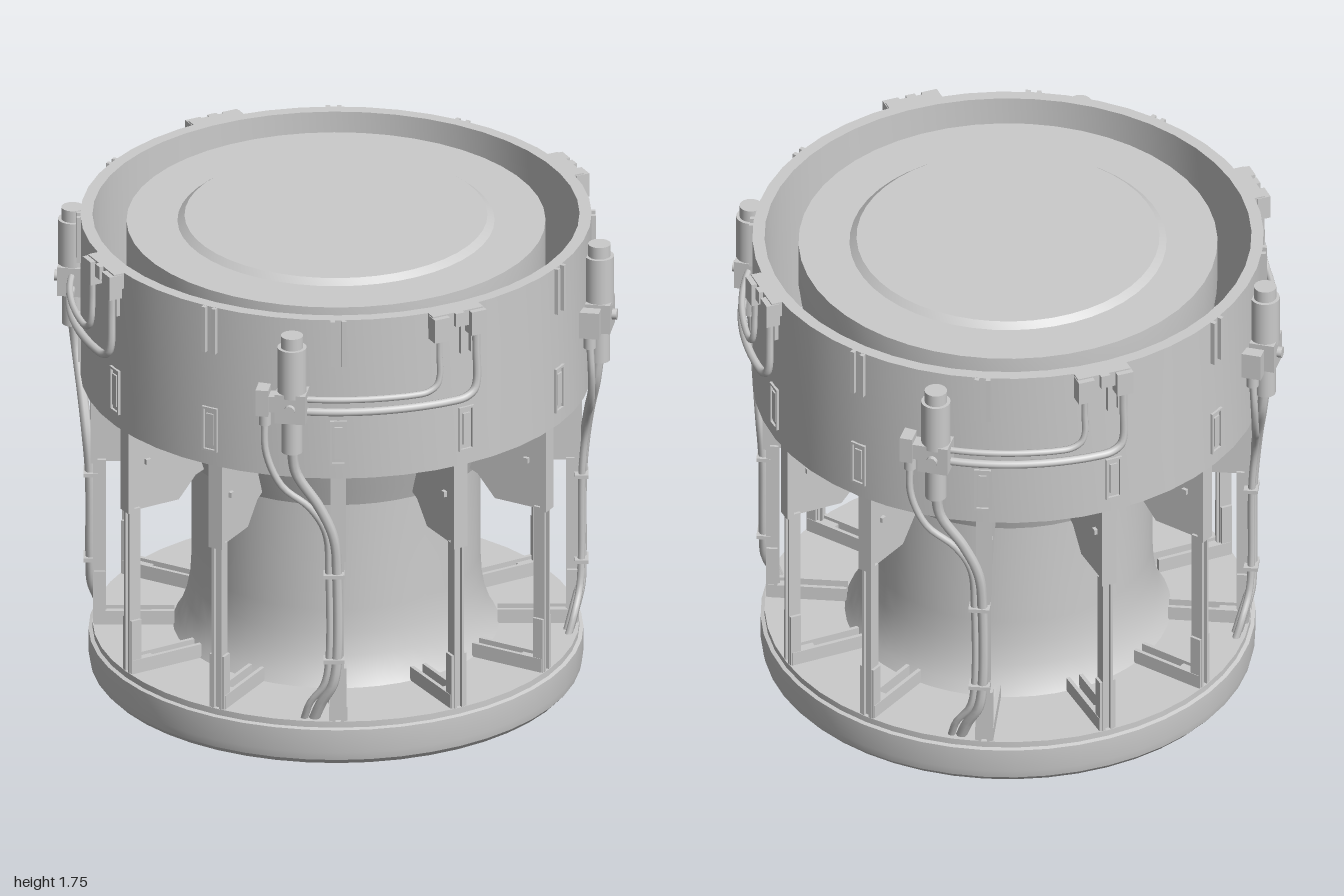
import * as THREE from 'three';
import { toCreasedNormals } from 'three/addons/utils/BufferGeometryUtils.js';

const grey = new THREE.MeshStandardMaterial({ color: 0xcccccc });
const thin = new THREE.MeshStandardMaterial({ color: 0xcccccc, side: THREE.DoubleSide });
const RAD = Math.PI / 180;

function add(parent, name, geometry, x = 0, y = 0, z = 0, material = grey) {
  const mesh = new THREE.Mesh(geometry, material);
  mesh.name = name;
  mesh.position.set(x, y, z);
  parent.add(mesh);
  return mesh;
}

// Box given by its centre and size
const box = (parent, name, x, y, z, w, h, d) =>
  add(parent, name, new THREE.BoxGeometry(w, h, d), x, y, z);

// Upright cylinder between two heights
const rod = (parent, name, x, z, y0, y1, r, sides = 20) =>
  add(parent, name, new THREE.CylinderGeometry(r, r, y1 - y0, sides), x, (y0 + y1) / 2, z);

// Lathe with sharp corners kept
function lathe(parent, name, profile) {
  const points = profile.map(([r, y]) => new THREE.Vector2(r, y));
  return add(parent, name, toCreasedNormals(new THREE.LatheGeometry(points, 48), 0.5));
}

// Point given by angle from the front, height and radius
const polar = (deg, y, r) => new THREE.Vector3(r * Math.sin(deg * RAD), y, r * Math.cos(deg * RAD));

function tube(parent, name, points, radius, segments = 48) {
  const curve = new THREE.CatmullRomCurve3(points, false, 'centripetal');
  return add(parent, name, new THREE.TubeGeometry(curve, segments, radius, 8), 0, 0, 0, thin);
}

// Twelve curved, slanted blades in the underside recess
function makeImpeller() {
  const impeller = new THREE.Group();
  impeller.name = 'impeller';
  for (let i = 0; i < 12; i++) {
    const geo = new THREE.PlaneGeometry(1, 1, 10, 4);
    const p = geo.attributes.position;
    for (let k = 0; k < p.count; k++) {
      const s = p.getX(k) + 0.5, t = p.getY(k) + 0.5;
      const v = polar(i * 30 + t * 30 + 45 * s * s, 0.055 - 0.025 * t * s, 0.02 + 0.5 * s);
      p.setXYZ(k, v.x, v.y, v.z);
    }
    geo.computeVertexNormals();
    add(impeller, 'blade', geo, 0, 0, 0, thin);
  }
  return impeller;
}

// One of twelve bays: strut, fin, foot rails and ring fittings, built facing +z
function makeBay() {
  const bay = new THREE.Group();
  bay.name = 'strutBay';

  // Fin between bowl and ring
  const shape = new THREE.Shape([[0.865, 1.2], [0.865, 0.8], [0.65, 0.8], [0.58, 0.88], [0.53, 0.9], [0.62, 1.2]]
    .map(([r, y]) => new THREE.Vector2(-r, y)));
  const finGeo = new THREE.ExtrudeGeometry(shape, { depth: 0.02, bevelEnabled: false });
  finGeo.translate(0, 0, -0.01).rotateY(Math.PI / 2);
  add(bay, 'fin', finGeo);
  box(bay, 'finFlange', 0, 0.98, 0.855, 0.055, 0.36, 0.025);
  box(bay, 'finPin', 0, 0.98, 0.78, 0.045, 0.02, 0.02);

  // Strut and its foot
  box(bay, 'strutWeb', 0, 0.49, 0.835, 0.03, 0.64, 0.02);
  for (const s of [-1, 1]) {
    box(bay, 'strutFlange', s * 0.015, 0.49, 0.835, 0.01, 0.64, 0.045);
    box(bay, 'footCheek', s * 0.025, 0.27, 0.835, 0.01, 0.22, 0.04);
    box(bay, 'footRail', s * 0.025, 0.2, 0.71, 0.014, 0.055, 0.28);
    box(bay, 'slotSide', s * 0.026, 1.28, 0.903, 0.008, 0.17, 0.016);
    box(bay, 'slotEnd', 0, 1.28 + s * 0.081, 0.903, 0.06, 0.008, 0.016);
    box(bay, 'topGuide', s * 0.02, 1.667, 0.907, 0.016, 0.175, 0.02);
  }
  box(bay, 'slotPanel', 0, 1.28, 0.9, 0.028, 0.12, 0.018);
  box(bay, 'footBlock', 0, 0.195, 0.78, 0.036, 0.04, 0.06);
  return bay;
}

// One of four actuators with its pipes and hoses
function makeActuator() {
  const unit = new THREE.Group();
  unit.name = 'actuatorUnit';

  // Actuator body, at a small angle from the bay
  const body = new THREE.Group();
  body.name = 'actuator';
  body.rotation.y = -10 * RAD;
  unit.add(body);
  rod(body, 'actuatorCap', 0, 0.943, 1.66, 1.71, 0.04);
  rod(body, 'actuatorBody', 0, 0.943, 1.48, 1.665, 0.052);
  rod(body, 'actuatorNeck', 0, 0.943, 1.26, 1.4, 0.038);
  box(body, 'valveBlock', 0, 1.44, 0.94, 0.11, 0.11, 0.1);
  box(body, 'valveArm', -0.07, 1.44, 0.925, 0.1, 0.06, 0.06);
  box(body, 'valveEnd', -0.105, 1.445, 0.925, 0.045, 0.1, 0.075);
  rod(body, 'valveOutlet', -0.1, 0.925, 1.35, 1.4, 0.022);
  box(body, 'mount', 0, 1.56, 0.905, 0.05, 0.1, 0.04);
  const knob = rod(body, 'valveKnob', 0, 0.992, 1.425, 1.455, 0.02, 12);
  knob.rotation.x = Math.PI / 2;

  // Pipes along the ring, turning up to the connector
  for (const [y, end, r] of [[1.462, 22.5, 0.012], [1.415, 31.5, 0.015]]) {
    const path = [];
    for (let a = -8; a <= end - 5; a += 4) path.push(polar(a, y, 0.94));
    path.push(polar(end - 3, y + 0.004, 0.94), polar(end - 0.8, y + 0.025, 0.94),
      polar(end, y + 0.06, 0.938), polar(end, 1.6, 0.935), polar(end, 1.69, 0.935));
    tube(unit, 'ringPipe', path, r, 64);
  }

  // Connector at the top of the ring
  const connector = new THREE.Group();
  connector.name = 'connector';
  connector.rotation.y = 27 * RAD;
  unit.add(connector);
  box(connector, 'connectorPlate', 0, 1.725, 0.915, 0.2, 0.06, 0.04);
  for (const x of [-0.073, 0.073]) box(connector, 'connectorSocket', x, 1.705, 0.93, 0.06, 0.09, 0.05);
  box(connector, 'connectorCentre', 0, 1.73, 0.93, 0.035, 0.05, 0.04);

  // Hoses from the actuator down past the strut to the base
  const v = ([x, y, z]) => new THREE.Vector3(x, y, z);
  tube(unit, 'mainHose', [[-0.164, 1.28, 0.928], [-0.15, 1.17, 0.915], [-0.07, 1.03, 0.895], [-0.018, 0.9, 0.88],
    [-0.005, 0.75, 0.868], [-0.005, 0.42, 0.866], [-0.02, 0.32, 0.862], [-0.06, 0.24, 0.84], [-0.085, 0.17, 0.82]].map(v), 0.019);
  tube(unit, 'sideHose', [[-0.26, 1.37, 0.894], [-0.255, 1.24, 0.9], [-0.2, 1.11, 0.898], [-0.1, 1.02, 0.89],
    [-0.045, 0.92, 0.88], [-0.033, 0.75, 0.868], [-0.033, 0.42, 0.866], [-0.05, 0.32, 0.86], [-0.1, 0.24, 0.84], [-0.12, 0.17, 0.82]].map(v), 0.013);
  for (const y of [0.42, 0.75]) box(unit, 'hoseClip', -0.015, y, 0.866, 0.075, 0.014, 0.05);
  return unit;
}

export function createModel() {
  const model = new THREE.Group();
  model.name = 'turbineHousing';

  // Base and flared column
  lathe(model, 'base', [[0, 0.07], [0.525, 0.07], [0.53, 0.006], [0.56, 0], [0.8, 0], [0.85, 0.01], [0.868, 0.03],
    [0.874, 0.06], [0.874, 0.148], [0.86, 0.152], [0.86, 0.175], [0.5, 0.175]]);
  lathe(model, 'column', [[0.58, 0.17], [0.555, 0.21], [0.53, 0.28], [0.515, 0.36], [0.51, 0.45], [0.51, 0.9]]);
  model.add(makeImpeller());

  // Bowl with a slightly raised lid
  lathe(model, 'bowl', [[0.48, 0.87], [0.54, 0.87], [0.56, 0.93], [0.595, 1.03], [0.63, 1.14], [0.68, 1.28], [0.72, 1.42],
    [0.74, 1.56], [0.74, 1.73], [0.56, 1.73], [0.535, 1.75], [0, 1.75]]);

  // Open upper ring
  lathe(model, 'upperRing', [[0.86, 1.14], [0.903, 1.14], [0.903, 1.755], [0.86, 1.755], [0.86, 1.14]]);

  // Twelve bays and four actuators around the axis
  const repeat = (make, count) => {
    for (let i = 0; i < count; i++) {
      const part = make();
      part.rotation.y = (i / count) * Math.PI * 2;
      model.add(part);
    }
  };
  repeat(makeBay, 12);
  repeat(makeActuator, 4);
  return model;
}
